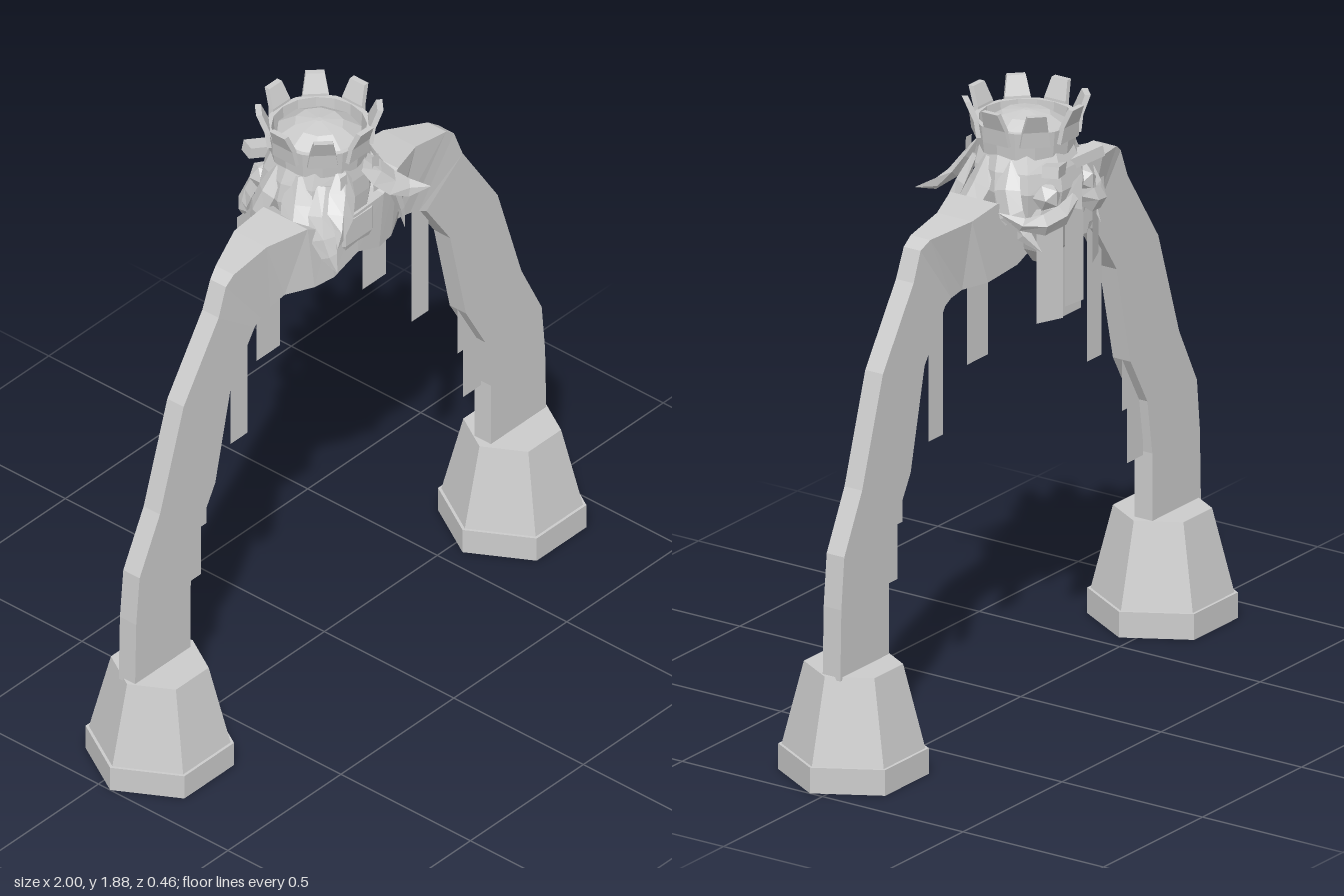
import * as THREE from 'three';

const material = new THREE.MeshStandardMaterial({ color: 0xcccccc, flatShading: true, side: THREE.DoubleSide });

function addMesh(parent, name, geometry) {
  const mesh = new THREE.Mesh(geometry, material);
  mesh.name = name;
  parent.add(mesh);
  return mesh;
}

// Closed skin over a row of rings with equal point counts; faces are turned outwards.
function loft(rings) {
  const tris = [];
  const n = rings[0].length;
  for (let i = 0; i < rings.length - 1; i++) {
    for (let j = 0; j < n; j++) {
      const k = (j + 1) % n, a = rings[i], b = rings[i + 1];
      tris.push([a[j], a[k], b[k]], [a[j], b[k], b[j]]);
    }
  }
  const last = rings[rings.length - 1];
  for (let j = 1; j < n - 1; j++) {
    tris.push([rings[0][0], rings[0][j + 1], rings[0][j]], [last[0], last[j], last[j + 1]]);
  }
  const volume = tris.reduce((s, [a, b, c]) => s + a.dot(b.clone().cross(c)), 0);
  if (volume < 0) tris.forEach((t) => t.reverse());
  const geometry = new THREE.BufferGeometry().setFromPoints(tris.flat());
  geometry.computeVertexNormals();
  return geometry;
}

// Elliptical horizontal ring.
function ring(y, rx, rz, z, n = 10) {
  return Array.from({ length: n }, (_, i) => {
    const a = ((i + 0.5) / n) * Math.PI * 2;
    return new THREE.Vector3(Math.sin(a) * rx, y, z + Math.cos(a) * rz);
  });
}

// Tapering, curved tuft of hair with a diamond section; side mirrors it in x.
function lock(points, width, thick, side) {
  const path = new THREE.CatmullRomCurve3(points.map(([x, y, z]) => new THREE.Vector3(x * side, y, z)));
  const scales = [0.6, 1, 0.95, 0.6, 0.03];
  return loft(scales.map((s, i) => {
    const p = path.getPoint(i / 4), t = path.getTangent(i / 4);
    const out = new THREE.Vector3(p.x, 0, p.z + 0.02).normalize();
    const across = t.clone().cross(out).normalize();
    const normal = across.clone().cross(t).normalize();
    return [[across, width], [normal, thick], [across, -width], [normal, -thick]]
      .map(([d, r]) => p.clone().addScaledVector(d, r * s));
  }));
}

// Thin hanging cloth: top edge and bottom edge given by x range, height and depth.
function strip(x0, x1, top, bottom, zTop, zBottom = zTop, twist = 0) {
  const geometry = new THREE.PlaneGeometry(x1 - x0, top - bottom);
  const p = geometry.attributes.position;
  for (let i = 0; i < p.count; i++) {
    const upper = p.getY(i) > 0, right = p.getX(i) > 0;
    p.setXYZ(i, right ? x1 : x0, upper ? top : bottom, (upper ? zTop : zBottom) + (right ? twist : 0));
  }
  geometry.computeVertexNormals();
  return geometry;
}

function createArch() {
  // outer x, outer y, inner x, inner y, back z, front z
  const half = [
    [0.91, 0.33, 0.665, 0.33, 0, 0.063],
    [0.905, 0.55, 0.665, 0.55, 0, 0.063],
    [0.89, 0.71, 0.64, 0.72, 0, 0.063],
    [0.8, 0.89, 0.555, 0.87, 0, 0.063],
    [0.695, 1.22, 0.485, 1.18, 0, 0.063],
    [0.54, 1.455, 0.38, 1.335, 0, 0.063],
    [0.505, 1.545, 0.35, 1.35, 0, 0.06],
    [0.47, 1.57, 0.31, 1.365, -0.01, 0.06],
    [0.33, 1.595, 0.25, 1.38, -0.06, 0.065],
    [0.2, 1.61, 0.17, 1.385, -0.06, 0.11],
    [0.12, 1.57, 0.1, 1.39, -0.06, 0.125],
    [0, 1.57, 0, 1.43, -0.06, 0.13],
  ];
  const stations = [...half, ...half.slice(0, -1).reverse().map(([a, b, c, d, e, f]) => [-a, b, -c, d, e, f])];
  return loft(stations.map(([ox, oy, ix, iy, back, front]) => [
    new THREE.Vector3(ox, oy, back), new THREE.Vector3(ox, oy, front),
    new THREE.Vector3(ix, iy, front), new THREE.Vector3(ix, iy, back),
  ]));
}

function createCrown() {
  const crown = new THREE.Group();
  crown.name = 'crown';
  crown.position.z = -0.02;
  const band = addMesh(crown, 'crownBand', new THREE.CylinderGeometry(0.155, 0.145, 0.085, 16, 1, true));
  band.position.y = 1.77;
  const inner = addMesh(crown, 'crownInside', new THREE.CylinderGeometry(0.14, 0.135, 0.085, 16, 1, true));
  inner.position.y = 1.77;
  const rim = addMesh(crown, 'crownRim', new THREE.RingGeometry(0.14, 0.155, 16));
  rim.rotation.x = -Math.PI / 2;
  rim.position.y = 1.8125;
  // Flared square teeth
  for (let i = 0; i < 8; i++) {
    const tooth = new THREE.Group();
    tooth.name = 'crownTooth';
    tooth.rotation.y = (i / 8) * Math.PI * 2;
    addMesh(tooth, 'toothBlock', loft([[1.77, 0.045, 0.14, 0.155], [1.82, 0.038, 0.145, 0.162], [1.877, 0.028, 0.168, 0.186]]
      .map(([y, w, near, far]) => [[w, near], [w, far], [-w, far], [-w, near]].map(([x, z]) => new THREE.Vector3(x, y, z)))));
    crown.add(tooth);
  }
  return crown;
}

function createHead() {
  const head = new THREE.Group();
  head.name = 'head';
  addMesh(head, 'skull', loft([
    ring(1.47, 0.13, 0.12, -0.01), ring(1.54, 0.155, 0.15, -0.025), ring(1.63, 0.175, 0.165, -0.03),
    ring(1.69, 0.165, 0.16, -0.025), ring(1.74, 0.145, 0.145, -0.02), ring(1.79, 0.125, 0.13, -0.02),
    ring(1.825, 0.07, 0.075, -0.02), ring(1.835, 0.01, 0.01, -0.02)]));
  addMesh(head, 'napeBlock', loft([
    ring(1.42, 0.1, 0.07, 0.05, 8), ring(1.48, 0.15, 0.09, 0.05, 8), ring(1.56, 0.15, 0.09, 0.05, 8)]));
  addMesh(head, 'beard', loft([
    ring(1.38, 0.03, 0.02, -0.07, 8), ring(1.44, 0.1, 0.06, -0.1, 8), ring(1.53, 0.14, 0.07, -0.12, 8),
    ring(1.58, 0.12, 0.06, -0.13, 8)]));
  // Face on the back side
  const nose = addMesh(head, 'nose', new THREE.ConeGeometry(0.04, 0.11, 4));
  nose.position.set(0, 1.63, -0.2);
  nose.rotation.x = -0.35;
  for (const side of [1, -1]) {
    const brow = addMesh(head, 'brow', new THREE.BoxGeometry(0.12, 0.035, 0.05));
    brow.position.set(side * 0.07, 1.7, -0.17);
    brow.rotation.set(0, side * 0.4, side * 0.2);
    const cheek = addMesh(head, 'cheek', new THREE.IcosahedronGeometry(0.045, 0));
    cheek.position.set(side * 0.09, 1.62, -0.155);
    addMesh(head, 'moustache', lock([[0.01, 1.6, -0.2], [0.1, 1.56, -0.2], [0.18, 1.555, -0.16], [0.24, 1.6, -0.09]], 0.035, 0.02, side));
    addMesh(head, 'frontLock', lock([[0.04, 1.73, 0.11], [0.09, 1.66, 0.145], [0.14, 1.61, 0.18], [0.205, 1.6, 0.23]], 0.045, 0.018, side));
    addMesh(head, 'lowerLock', lock([[0.1, 1.7, 0.09], [0.15, 1.6, 0.12], [0.16, 1.53, 0.15], [0.15, 1.46, 0.18]], 0.04, 0.018, side));
    addMesh(head, 'sideLock', lock([[0.13, 1.72, 0.02], [0.17, 1.62, 0.04], [0.21, 1.57, 0.06], [0.29, 1.58, 0.05]], 0.05, 0.022, side));
    addMesh(head, 'templeLock', lock([[0.13, 1.72, -0.06], [0.18, 1.62, -0.08], [0.18, 1.54, -0.12], [0.15, 1.47, -0.18]], 0.04, 0.018, side));
    addMesh(head, 'templeRibbon', strip(side * 0.21 - 0.04, side * 0.21 + 0.04, 1.57, 1.45, -0.12));
    addMesh(head, 'hairRibbon', strip(side * 0.07 - 0.015, side * 0.07 + 0.015, 1.74, 1.62, 0.135, 0.142));
  }
  // Beard ribbons
  addMesh(head, 'beardRibbon', strip(-0.035, 0.045, 1.56, 1.27, -0.2, -0.2, 0.01));
  addMesh(head, 'beardRibbon', strip(0.07, 0.155, 1.56, 1.245, -0.2, -0.2, 0.035));
  addMesh(head, 'beardRibbon', strip(-0.18, -0.1, 1.56, 1.36, -0.15, -0.15, -0.035));
  head.add(createCrown());
  return head;
}

export function createModel() {
  const model = new THREE.Group();
  model.name = 'archway';
  addMesh(model, 'arch', createArch());
  for (const side of [1, -1]) {
    // Hexagonal feet
    const foot = new THREE.Group();
    foot.name = 'foot';
    foot.position.set(side * 0.78, 0, 0.045);
    foot.rotation.y = Math.PI / 2;
    addMesh(foot, 'footSlab', new THREE.CylinderGeometry(0.22, 0.22, 0.08, 6)).position.y = 0.04;
    addMesh(foot, 'footTaper', new THREE.CylinderGeometry(0.145, 0.21, 0.26, 6)).position.y = 0.21;
    model.add(foot);
    // Cloth hanging below the arch
    for (const [x, w, top, bottom, z] of [
      [0.4, 0.075, 1.36, 0.925, 0.02], [0.235, 0.105, 1.4, 1.125, -0.012],
      [0.62, 0.08, 0.72, 0.54, 0.03], [0.6, 0.09, 0.87, 0.71, 0.03]]) {
      addMesh(model, 'hangingCloth', strip(side * x - w / 2, side * x + w / 2, top, bottom, z));
    }
  }
  model.add(createHead());
  return model;
}
